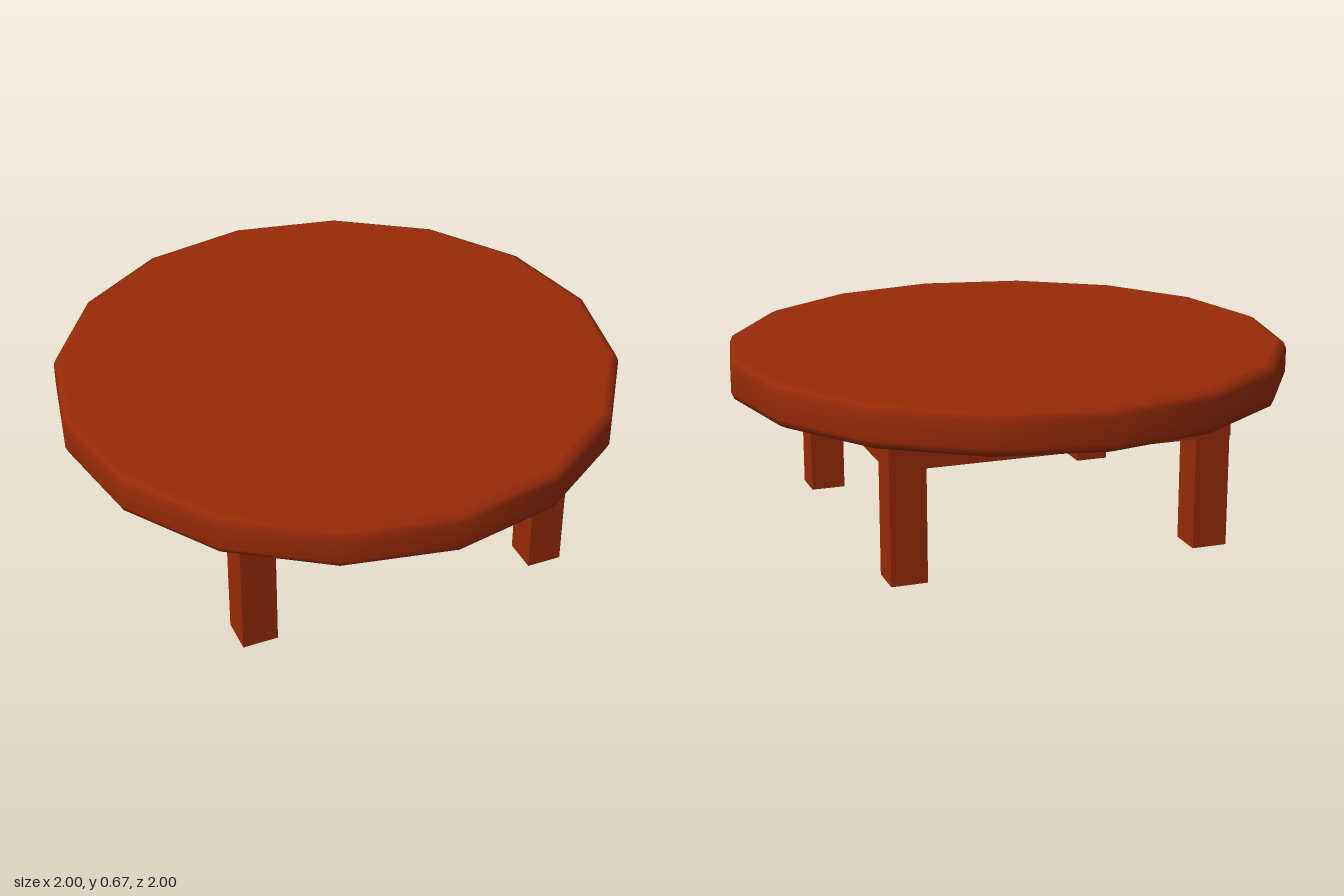
import * as THREE from 'three';

export function createModel() {
  const table = new THREE.Group();
  table.name = 'roundTable';
  const wood = new THREE.MeshStandardMaterial({ color: 0x982a08 });
  wood.name = 'reddish brown wood';

  function add(name, geometry, x, y, z, parent = table) {
    const mesh = new THREE.Mesh(geometry, wood);
    mesh.name = name;
    mesh.position.set(x, y, z);
    parent.add(mesh);
    return mesh;
  }

  // Sixteen-sided top with a softly rounded rim and a very slight crown
  const profile = [
    [0, 0.508], [0.965, 0.51], [0.99, 0.522], [1, 0.545],
    [1, 0.63], [0.99, 0.653], [0.965, 0.6645], [0, 0.6668],
  ].map(([r, y]) => new THREE.Vector2(r, y));
  add('tabletop', new THREE.LatheGeometry(profile, 16), 0, 0, 0);

  // Base: four legs under a rail frame that overhangs them by a hair
  const base = new THREE.Group();
  base.name = 'base';
  base.position.set(0.005, 0, 0.007);
  table.add(base);
  const thick = 0.126, halfX = 0.61, halfZ = 0.604;
  const railBottom = 0.397, railTop = 0.512, panelBottom = 0.469;
  const railHeight = railTop - railBottom, railY = (railTop + railBottom) / 2;
  const legX = 0.545, legZ = 0.538;
  const innerX = halfX - thick, innerZ = halfZ - thick;
  const legGeometry = new THREE.BoxGeometry(thick, railBottom, thick);
  const longRail = new THREE.BoxGeometry(halfX * 2, railHeight, thick);
  const shortRail = new THREE.BoxGeometry(thick, railHeight, innerZ * 2);

  for (const s of [-1, 1]) {
    for (const t of [-1, 1]) {
      add((t > 0 ? 'front' : 'back') + (s > 0 ? 'Left' : 'Right') + 'Leg',
        legGeometry, s * legX, railBottom / 2, t * legZ, base);
    }
    add(s > 0 ? 'frontRail' : 'backRail', longRail, 0, railY, s * (halfZ - thick / 2), base);
    add(s > 0 ? 'leftRail' : 'rightRail', shortRail, s * (halfX - thick / 2), railY, 0, base);
  }

  // Recessed panel closing the frame under the top
  const panelHeight = railTop - panelBottom;
  add('framePanel', new THREE.BoxGeometry(innerX * 2, panelHeight, innerZ * 2),
    0, panelBottom + panelHeight / 2, 0, base);
  return table;
}
